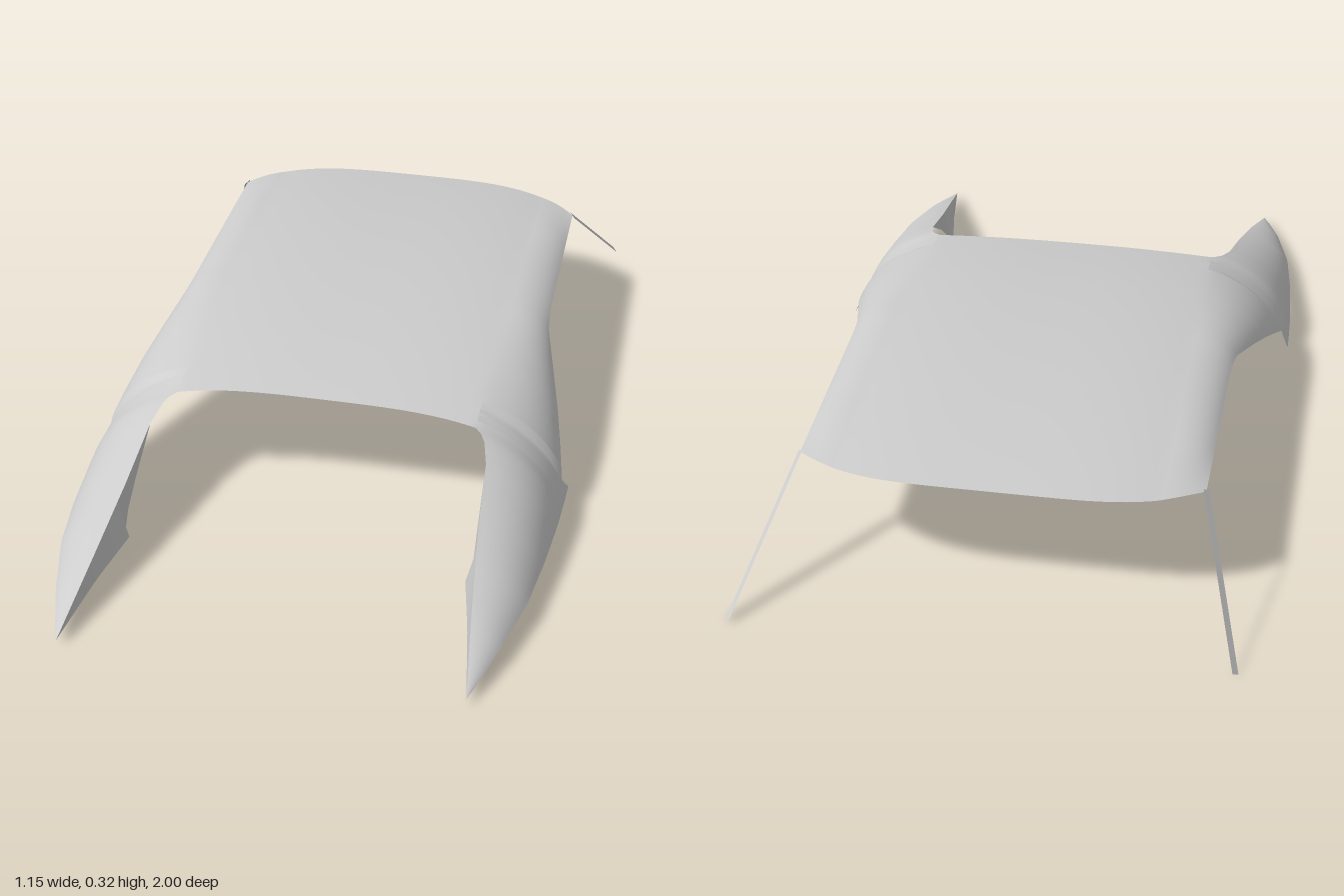
import * as THREE from 'three';
import { mergeGeometries, mergeVertices } from 'three/addons/utils/BufferGeometryUtils.js';

const material = new THREE.MeshStandardMaterial({ color: 0xcccccc, side: THREE.DoubleSide });
const clamp01 = (t) => Math.min(1, Math.max(0, t));

// Linear lookup in rows of [z, a, b, ...]
function lookup(rows, z) {
  let i = 1;
  while (i < rows.length - 1 && z > rows[i][0]) i++;
  const p = rows[i - 1], q = rows[i];
  const t = clamp01((z - p[0]) / (q[0] - p[0]));
  return p.slice(1).map((a, k) => a + (q[k + 1] - a) * t);
}

// Surface through points fn(u, v); rows and columns are lists of parameters
function grid(us, vs, fn) {
  const pos = [], index = [], w = vs.length;
  us.forEach((u) => vs.forEach((v) => pos.push(...fn(u, v))));
  for (let i = 0; i < us.length - 1; i++)
    for (let j = 0; j < w - 1; j++) {
      const a = i * w + j;
      index.push(a, a + w, a + 1, a + 1, a + w, a + w + 1);
    }
  const g = new THREE.BufferGeometry();
  g.setAttribute('position', new THREE.Float32BufferAttribute(pos, 3));
  g.setIndex(index);
  return g;
}
const range = (a, b, n) => Array.from({ length: n + 1 }, (_, i) => a + ((b - a) * i) / n);

const REAR = -0.81, CORNER = 0.335, CROWN_X = 0.36;

// Inner limit of the sides past the roof corner: [z, x, y]
const openingEdge = [
  [0.335, 0.36, 0.252], [0.35, 0.375, 0.247], [0.37, 0.386, 0.24], [0.43, 0.4, 0.22],
  [0.6, 0.412, 0.163], [0.8, 0.432, 0.094], [1, 0.456, 0.018],
];
// Lower side edge, with the step behind the door opening: [z, x, y]
const lowerEdge = [
  [-0.81, 0.455, 0.262], [-0.3, 0.46, 0.262], [-0.2, 0.462, 0.26], [-0.13, 0.468, 0.252],
  [0, 0.5, 0.208], [0.1, 0.525, 0.17], [0.19, 0.545, 0.13], [0.25, 0.557, 0.1],
  [0.265, 0.562, 0.07], [0.27, 0.575, 0.049], [0.4, 0.571, 0.053], [0.55, 0.56, 0.055],
  [0.7, 0.542, 0.052], [0.85, 0.505, 0.042], [0.95, 0.474, 0.026], [1, 0.456, 0.018],
];
// Outward swell of the side section: [z, amount]
const swell = [[-0.81, 0.008], [-0.6, 0.022], [-0.2, 0.024], [0, 0.045], [0.335, 0.072], [0.6, 0.042], [1, 0]];
const shoulderDrop = [[-0.81, 0.009], [-0.5, 0.014], [0.1, 0.015], [0.335, 0.0177]];

const crownY = (z) => 0.317 - 0.125 * (z + 0.28) ** 2;

// Curves the windscreen edge and the rear opening edge in plan
function planShift(x, z) {
  const back = 0.11 * (Math.abs(x) / 0.46) ** 4 * clamp01((-0.4 - z) / 0.41);
  const front = 0.015 * (1 - Math.min(1, Math.abs(x) / CROWN_X) ** 4) * clamp01((z - 0.1) / 0.235);
  return z + back - front;
}

function crownPoint(z, x) {
  const y = crownY(z) - lookup(shoulderDrop, z)[0] * Math.abs(x / CROWN_X) ** 3;
  return [x, y, planShift(x, z)];
}

// Side section: a quadratic curve from the shoulder or opening edge to the lower edge
function sidePoint(z, v) {
  const [sx, sy] = z < CORNER ? [CROWN_X, crownY(z) - lookup(shoulderDrop, z)[0]] : lookup(openingEdge, z);
  const [bx, by] = lookup(lowerEdge, z), b = 0.7 * lookup(swell, z)[0];
  const mix = (s, e) => (1 - v) ** 2 * s + 2 * v * (1 - v) * ((s + e) / 2 + b) + v * v * e;
  const x = mix(sx, bx);
  const lip = z >= 0.27 ? 0.03 * v ** 10 * clamp01(1 - (z - 0.27) / 0.04) : 0;
  return [x, mix(sy, by), planShift(x, z) - lip];
}

// Inner return of the rear pillar: [z, x, y]
const flapEdge = [
  [0.43, 0.4, 0.22], [0.55, 0.404, 0.145], [0.61, 0.406, 0.1], [0.64, 0.405, 0.065],
  [0.65, 0.394, 0.05], [0.8, 0.424, 0.04], [1, 0.456, 0.018],
];

export function createModel() {
  const model = new THREE.Group();
  const add = (name, geometry) => {
    geometry.computeVertexNormals();
    const mesh = new THREE.Mesh(geometry, material);
    mesh.name = name;
    model.add(mesh);
  };
  const mirror = (s, [x, y, z]) => [s * x, y, z];

  // Roof skin flowing into the two rear pillars
  const roofZ = range(REAR, CORNER, 50);
  const sideZ = [
    ...roofZ, 0.25, 0.265, 0.27, 0.28, 0.29, 0.31, 0.35, 0.37, 0.39, 0.41, ...range(0.43, 1, 26),
  ].sort((a, b) => a - b);
  const parts = [grid(roofZ, range(-CROWN_X, CROWN_X, 32), crownPoint)];
  for (const s of [1, -1]) {
    const across = s > 0 ? range(0, 1, 14) : range(1, 0, 14);
    parts.push(grid(sideZ, across, (z, v) => mirror(s, sidePoint(z, v))));
  }
  add('roofAndRearPillars', mergeVertices(mergeGeometries(parts), 1e-5));

  for (const s of [1, -1]) {
    const side = s > 0 ? 'left' : 'right';
    const across = s > 0 ? range(1, 0, 4) : range(0, 1, 4);

    // Folded inner face of the rear pillar
    const flapZ = [...range(0.43, 0.63, 10), 0.64, 0.645, 0.65, ...range(0.67, 1, 14)];
    add(side + 'PillarInnerFace', grid(flapZ, across, (z, v) => {
      const [ax, ay] = lookup(openingEdge, z), [bx, by] = lookup(flapEdge, z);
      return [s * (ax + (bx - ax) * v), ay + (by - ay) * v, z];
    }));

    // Thin windscreen pillar
    add(side + 'WindscreenPillar', grid(range(0, 1, 6), across, (t, v) => mirror(s, [
      0.461 + 0.102 * t - 0.012 * v,
      0.26 - 0.26 * t + 0.009 * v,
      -0.695 - 0.293 * t - 0.012 * v,
    ])));
  }
  return model;
}
